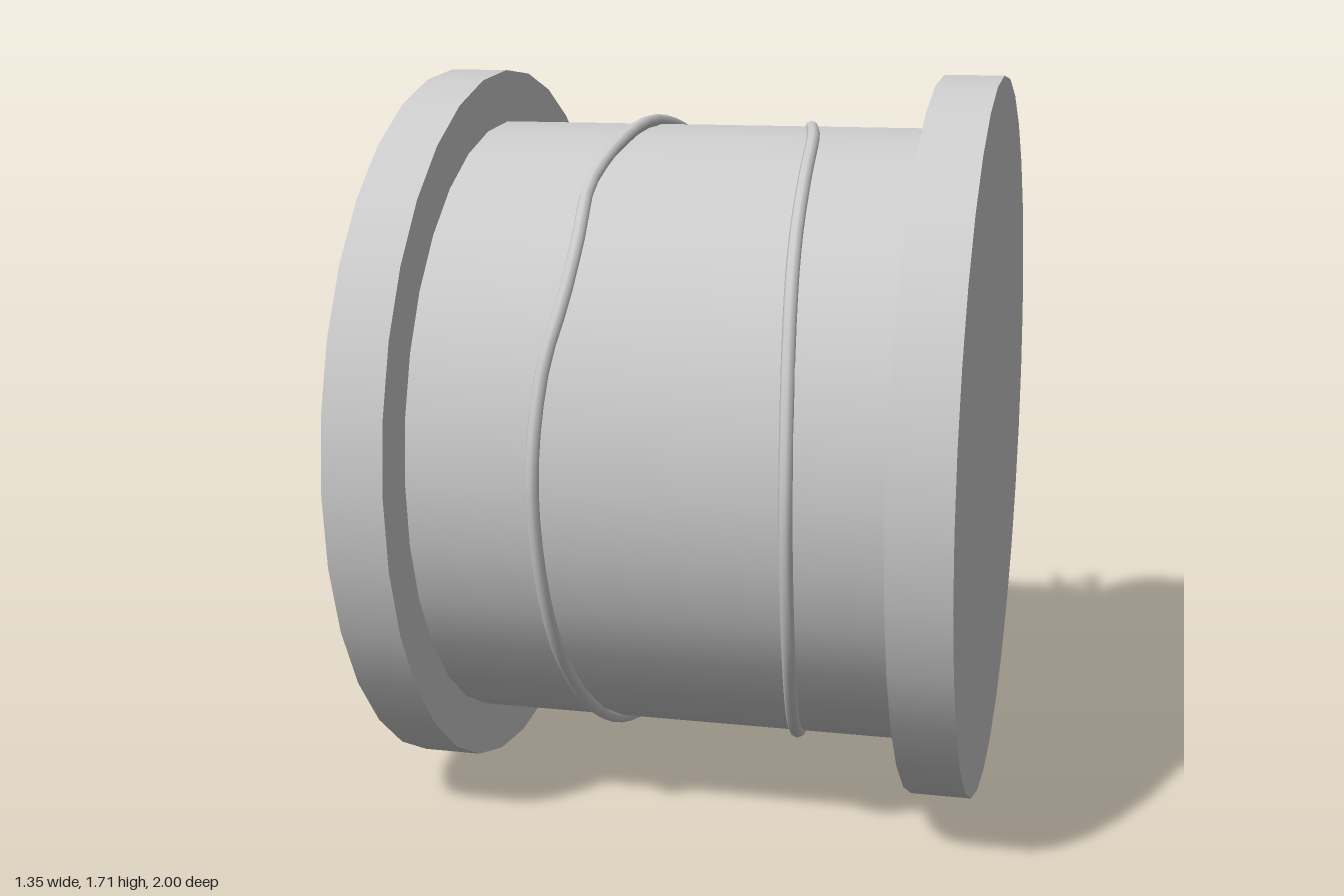
import * as THREE from 'three';

const CY = 0.857, CZ = 0.143;   // spool axis
const WIRE = 0.015;

export function createModel() {
  const group = new THREE.Group();
  const material = new THREE.MeshStandardMaterial({ color: 0xcccccc });

  const add = (name, geometry) => {
    const mesh = new THREE.Mesh(geometry, material);
    mesh.name = name;
    group.add(mesh);
    return mesh;
  };

  // Cylinder lying along x on the spool axis
  const disc = (name, radius, width, x) => {
    const geometry = new THREE.CylinderGeometry(radius, radius, width, 32);
    geometry.rotateZ(Math.PI / 2);
    add(name, geometry).position.set(x, CY, CZ);
  };

  // Point on the drum: angle in degrees from the front, rising over the top
  const wrap = ([angle, x, r = 0.738]) => {
    const a = THREE.MathUtils.degToRad(angle);
    return new THREE.Vector3(x, CY + r * Math.sin(a), CZ + r * Math.cos(a));
  };

  const wire = (name, points, segments, closed = false) => {
    const curve = new THREE.CatmullRomCurve3(points, closed, 'centripetal');
    add(name, new THREE.TubeGeometry(curve, segments, WIRE, 8, closed));
  };

  // Drum and the two end flanges
  disc('drum', 0.733, 1.08, 0);
  disc('leftFlange', 0.857, 0.14, 0.605);
  disc('rightFlange', 0.857, 0.14, -0.605);

  // Full turn of wire round the drum
  wire('wireLoop', [
    [0, -0.243], [20, -0.23], [33, -0.203], [45, -0.197], [58, -0.208], [75, -0.18, 0.742],
    [90, -0.155, 0.742], [120, -0.125], [150, -0.105], [168, -0.092], [180, -0.09],
    [210, -0.105], [240, -0.135], [270, -0.17], [300, -0.2], [330, -0.23],
  ].map(wrap), 72, true);

  // Part turn whose ends sink into the drum
  wire('wireTurn', [
    [126, 0.18, 0.715], [110, 0.19, 0.724], [98, 0.205, 0.73], [78, 0.255, 0.734],
    [60, 0.275], [45, 0.285], [30, 0.297], [0, 0.31], [-30, 0.3], [-60, 0.265],
    [-90, 0.225], [-110, 0.205, 0.732], [-125, 0.195, 0.722], [-135, 0.19, 0.712],
  ].map(wrap), 60);

  // Loose end leaving the drum at the back
  wire('wireTail', [
    [0.275, 1.53, -0.09], [0.29, 1.522, -0.15], [0.30, 1.485, -0.25],
    [0.34, 1.37, -0.4], [0.385, 1.26, -0.55], [0.415, 1.17, -0.65],
    [0.45, 0.97, -0.73], [0.48, 0.80, -0.81], [0.49, 0.71, -0.89], [0.49, 0.675, -0.995],
  ].map(p => new THREE.Vector3(...p)), 36);

  // Cap on the tip of the loose end
  const tip = add('wireTip', new THREE.CircleGeometry(WIRE, 8));
  tip.position.set(0.49, 0.675, -0.996);
  tip.rotation.y = Math.PI;

  return group;
}
